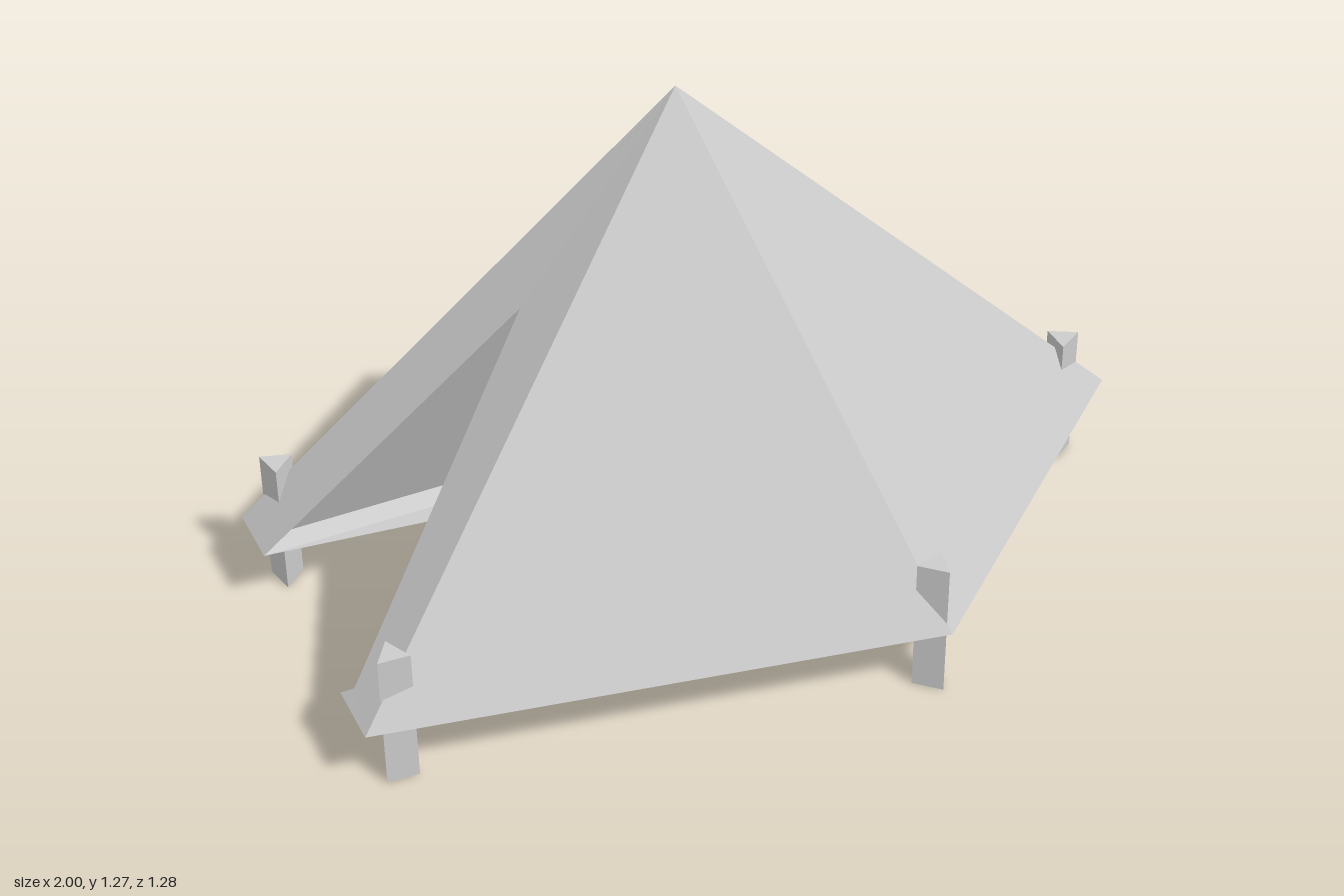
import * as THREE from 'three';

export function createModel() {
  const model = new THREE.Group();
  const solid = new THREE.MeshStandardMaterial({ color: 0xcccccc, flatShading: true });
  const sheet = new THREE.MeshStandardMaterial({ color: 0xcccccc, flatShading: true, side: THREE.DoubleSide });

  // Mesh of flat panels; each panel is a loop of corners, fanned from its first corner
  function panels(name, loops) {
    const pos = [];
    for (const loop of loops) {
      for (let i = 1; i < loop.length - 1; i++) pos.push(...loop[0], ...loop[i], ...loop[i + 1]);
    }
    const geo = new THREE.BufferGeometry();
    geo.setAttribute('position', new THREE.Float32BufferAttribute(pos, 3));
    geo.computeVertexNormals();
    const mesh = new THREE.Mesh(geo, sheet);
    mesh.name = name;
    model.add(mesh);
  }

  // Stretched pentagon footprint and apex
  const floorY = 0.166, peakY = 1.268, cx = -0.106, radius = 1.106, squash = 0.608;
  const apex = [cx, peakY, 0];
  const corners = [0, 1, 2, 3, 4].map((k) => {
    const a = (k * Math.PI * 2) / 5;
    return [cx + radius * Math.cos(a), floorY, radius * squash * Math.sin(a)];
  });

  // Point on the sloped entrance side at a given height
  const entry = (y, z) => {
    const t = (y - floorY) / (peakY - floorY);
    return [-1 + t * (cx + 1), y, z];
  };

  // Tunnel section: small flared lip at the floor, then straight slopes to a ridge
  const ridgeY = 0.825, lipY = 0.192, lipZ = 0.275, holeZ = 0.245, endX = 0.6;
  const ridgeIn = entry(ridgeY, 0), ridgeEnd = [0.1, ridgeY, 0];

  // Closed roof sides
  panels('roof', [0, 1, 3, 4].map((k) => [corners[k], apex, corners[(k + 1) % 5]]));

  const entrance = [], floor = [], walls = [], lips = [];
  for (const s of [1, -1]) {
    const side = corners[s > 0 ? 1 : 4], back = corners[s > 0 ? 2 : 3];
    const inHole = entry(floorY, s * holeZ), inLip = entry(lipY, s * lipZ);
    const endHole = [endX, floorY, s * holeZ], endLip = [endX, lipY, s * lipZ];
    const order = (loop) => (s > 0 ? loop : loop.reverse());
    entrance.push(order([back, apex, ridgeIn, inLip, inHole]));
    floor.push(order([side, back, inHole, endHole, [endX, floorY, 0], corners[0]]));
    walls.push(order([ridgeIn, ridgeEnd, endLip, inLip]));
    lips.push(order([inLip, endLip, endHole, inHole]));
  }
  // Sloped inner end of the tunnel
  walls.push([ridgeEnd, [endX, lipY, lipZ], [endX, floorY, holeZ],
    [endX, floorY, -holeZ], [endX, lipY, -lipZ]]);
  panels('entranceSide', entrance);
  panels('floor', floor);
  panels('tunnelWalls', walls);
  panels('tunnelLips', lips);

  // Three-sided posts at the corners: x, z, turn in degrees
  const posts = [
    [0.88, 0, 0], [0.217, 0.587, 74], [-0.918, 0.354, 34],
    [-0.923, -0.35, 108], [0.217, -0.587, 52],
  ];
  const postHeight = 0.33;
  for (const [x, z, deg] of posts) {
    const start = Math.PI / 2 - THREE.MathUtils.degToRad(deg);
    const post = new THREE.Mesh(
      new THREE.CylinderGeometry(0.041, 0.041, postHeight, 3, 1, false, start), solid);
    post.position.set(x, postHeight / 2, z);
    post.name = 'cornerPost';
    model.add(post);
  }
  return model;
}
